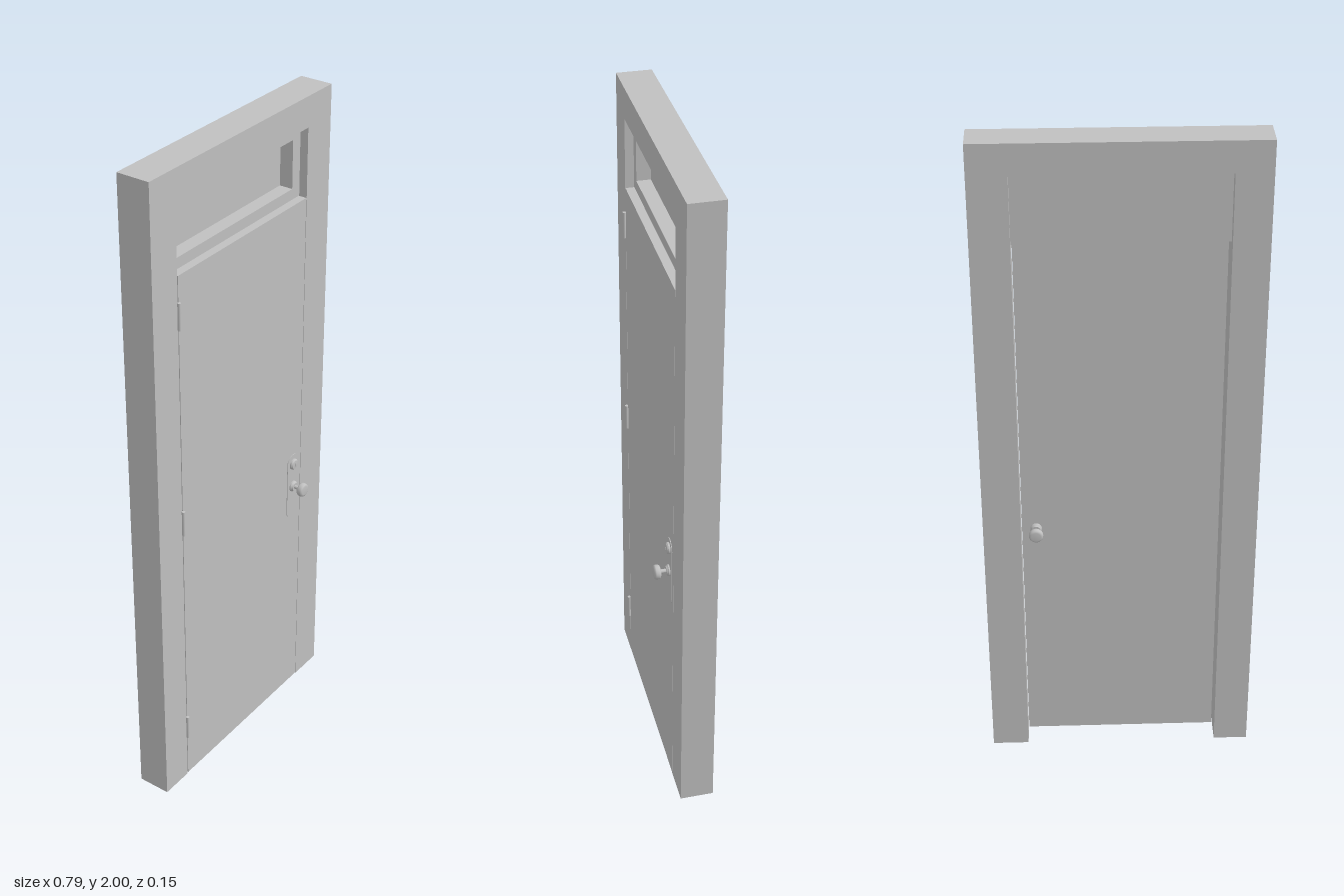
import * as THREE from 'three';

const paint = new THREE.MeshStandardMaterial({ color: 0xc0c0c0 });
paint.name = 'plain grey';

const V = (x, y) => new THREE.Vector2(x, y);

function mesh(name, geometry, x = 0, y = 0, z = 0) {
  const m = new THREE.Mesh(geometry, paint);
  m.name = name;
  m.position.set(x, y, z);
  return m;
}

// Box given by its limits
function boxBetween(name, x0, x1, y0, y1, z0, z1) {
  const g = new THREE.BoxGeometry(x1 - x0, y1 - y0, z1 - z0);
  return mesh(name, g, (x0 + x1) / 2, (y0 + y1) / 2, (z0 + z1) / 2);
}

function rectPoints(x0, x1, y0, y1) {
  return [V(x0, y0), V(x1, y0), V(x1, y1), V(x0, y1)];
}

function extrude(shape, depth) {
  return new THREE.ExtrudeGeometry(shape, { depth, bevelEnabled: false, curveSegments: 12 });
}

// Turned part whose axis points along +z; each run of points is a separate smooth band
function turned(name, bands) {
  const group = new THREE.Group();
  group.name = name;
  bands.forEach((pts, i) => {
    const g = new THREE.LatheGeometry(pts.map(([r, h]) => V(r, h)), 28);
    g.rotateX(Math.PI / 2);
    group.add(mesh(`${name}Band${i + 1}`, g));
  });
  return group;
}

function doorKnob(name) {
  return turned(name, [
    // rose
    [[0.017, 0], [0.017, 0.006]],
    [[0.017, 0.006], [0.014, 0.009], [0.013, 0.012]],
    [[0.013, 0.012], [0.006, 0.012]],
    // neck
    [[0.006, 0.012], [0.006, 0.028]],
    // grip
    [[0.006, 0.028], [0.014, 0.028], [0.019, 0.030], [0.021, 0.034], [0.021, 0.042],
      [0.019, 0.046], [0.014, 0.048], [0, 0.048]],
  ]);
}

export function createModel() {
  const model = new THREE.Group();
  model.name = 'door';

  const left = -0.295, right = 0.288, head = 1.91, doorTop = 1.705;
  const front = 0.025, back = -0.075, doorBack = -0.005;

  // Surround, open at the floor
  const surround = new THREE.Shape([
    V(-0.397, 0), V(left, 0), V(left, head), V(right, head),
    V(right, 0), V(0.397, 0), V(0.397, 2), V(-0.397, 2),
  ]);
  model.add(mesh('doorFrame', extrude(surround, front - back), 0, 0, back));

  // Door leaf, with a fine gap at the jambs
  model.add(boxBetween('doorLeaf', left + 0.003, right - 0.002, 0.003, doorTop, doorBack, front));

  // Transom frame and its pane, set back from the front
  const transom = new THREE.Shape(rectPoints(left, right, doorTop, head));
  transom.holes.push(new THREE.Path(rectPoints(-0.265, 0.253, 1.737, 1.88).reverse()));
  model.add(mesh('transomFrame', extrude(transom, 0.045), 0, 0, -0.045));
  model.add(boxBetween('transomPane', -0.265, 0.253, 1.737, 1.88, -0.045, -0.041));

  // Hinge barrels
  for (const y of [0.19, 0.94, 1.59]) {
    model.add(mesh('hinge', new THREE.CylinderGeometry(0.005, 0.005, 0.08, 16), -0.294, y, 0.029));
  }

  // Thin lock plate
  const plate = new THREE.Shape();
  plate.absarc(0, 0.855, 0.027, 0, Math.PI, false);
  plate.absarc(0, 0.682, 0.027, Math.PI, Math.PI * 2, false);
  model.add(mesh('lockPlate', extrude(plate, 0.002), 0.245, 0, front));

  // Knobs on both sides
  const outerKnob = doorKnob('frontKnob');
  outerKnob.position.set(0.245, 0.77, front);
  const innerKnob = doorKnob('backKnob');
  innerKnob.position.set(0.245, 0.77, doorBack);
  innerKnob.rotation.y = Math.PI;
  model.add(outerKnob, innerKnob);

  // Deadbolt cylinder with a small keyway
  const bolt = turned('deadbolt', [
    [[0.017, 0], [0.017, 0.007]],
    [[0.017, 0.007], [0.014, 0.011]],
    [[0.014, 0.011], [0, 0.012]],
  ]);
  bolt.position.set(0.245, 0.85, front);
  model.add(bolt);
  model.add(boxBetween('keyway', 0.244, 0.246, 0.845, 0.855, front + 0.011, front + 0.013));

  return model;
}
